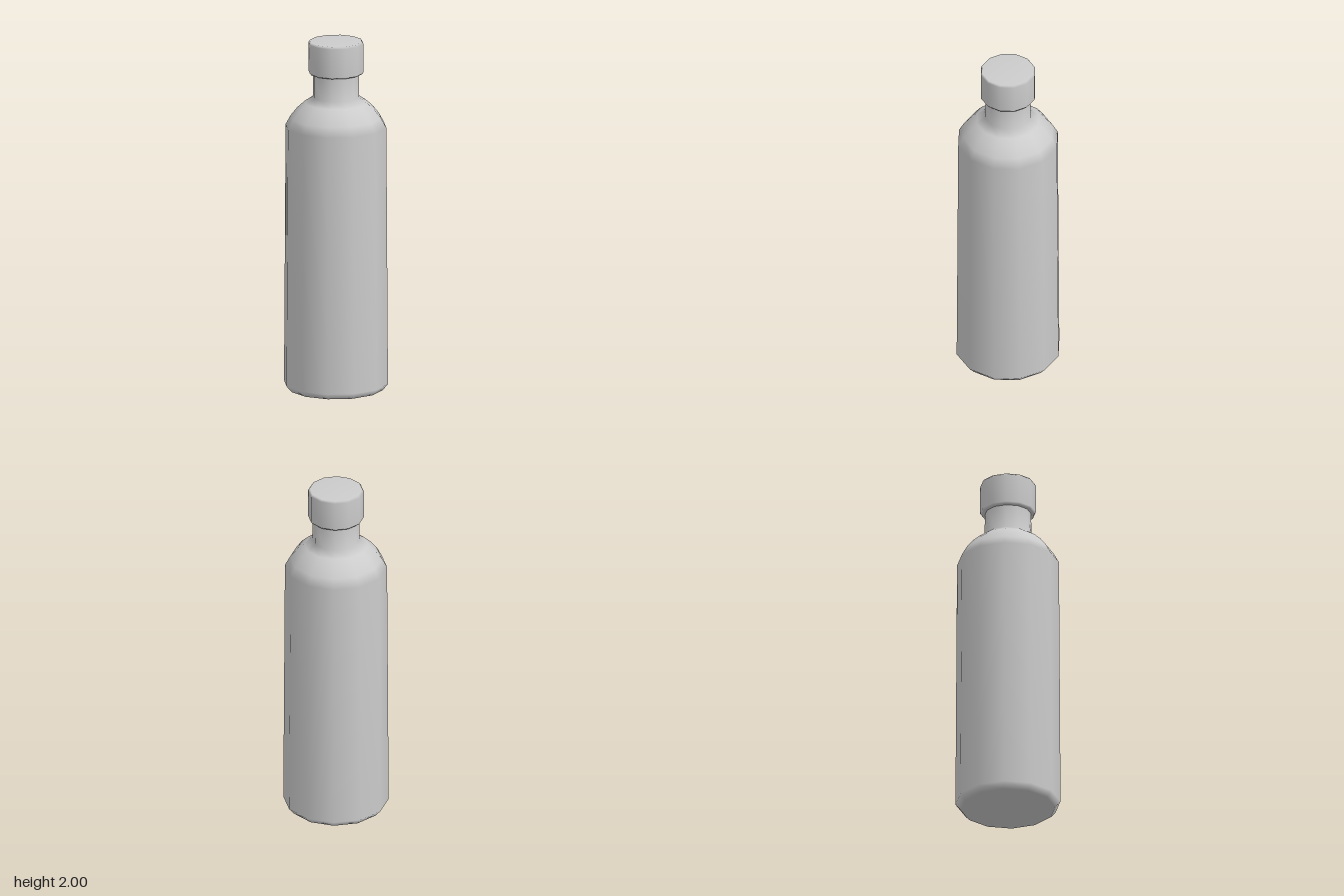
import * as THREE from 'three';

const SIDES = 12;

// Revolve a [radius, height] profile, listed from bottom to top
function turned(name, profile, material) {
  const points = profile.map(([r, y]) => new THREE.Vector2(r, y));
  const mesh = new THREE.Mesh(new THREE.LatheGeometry(points, SIDES), material);
  mesh.name = name;
  return mesh;
}

export function createModel() {
  const group = new THREE.Group();
  group.name = 'bottle';
  const material = new THREE.MeshStandardMaterial({ color: 0xcccccc });

  // Bevelled base, slightly tapered wall, rounded shoulder and straight neck
  group.add(turned('body', [
    [0, 0], [0.265, 0], [0.295, 0.035],
    [0.286, 1.51], [0.257, 1.563], [0.22, 1.61], [0.178, 1.648],
    [0.131, 1.68], [0.13, 1.83],
  ], material));

  // Closed cap with small bevels, overhanging the neck
  group.add(turned('cap', [
    [0, 1.815], [0.148, 1.815], [0.156, 1.825],
    [0.156, 1.988], [0.148, 2], [0, 2],
  ], material));

  return group;
}
